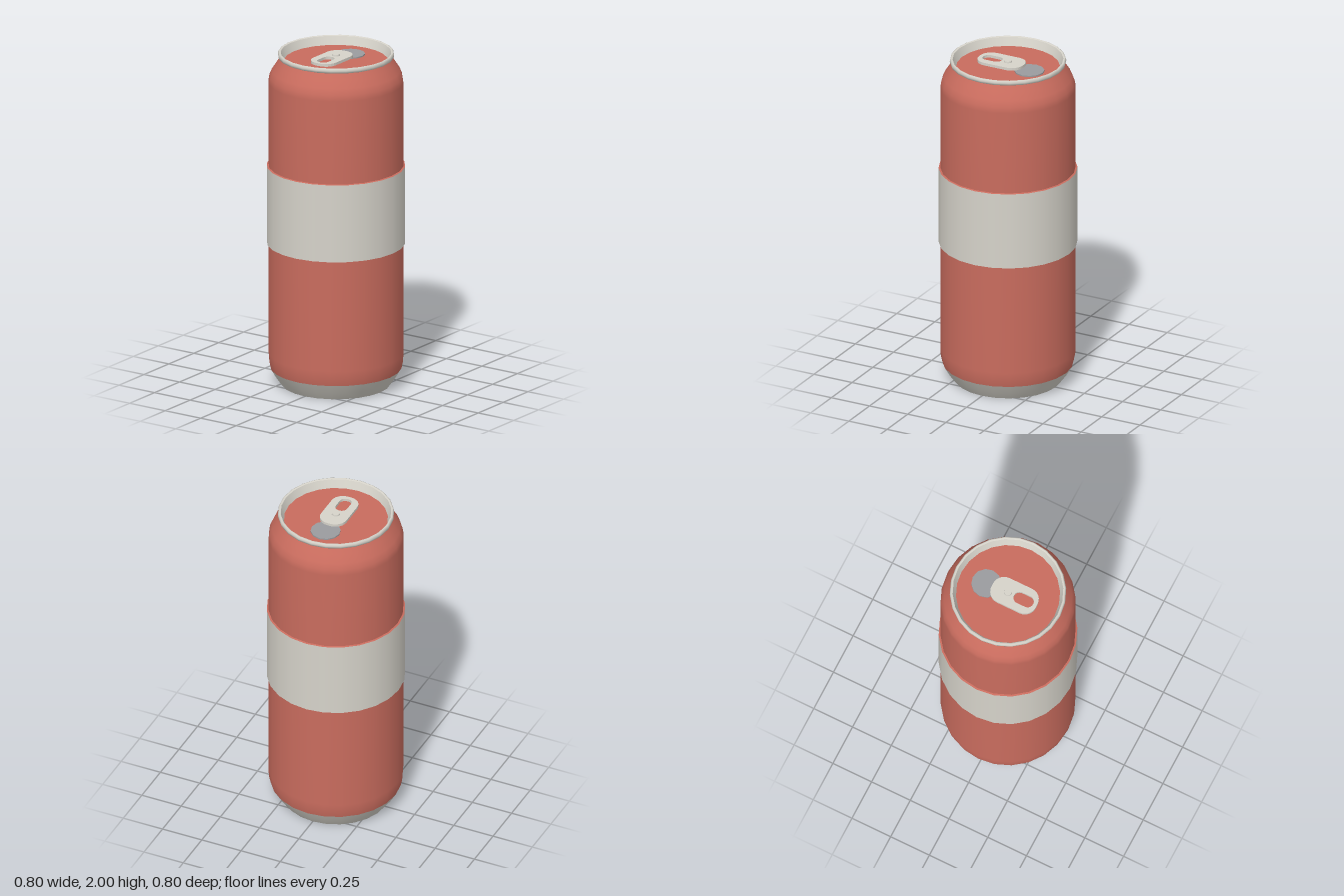
import * as THREE from 'three';

const SIDES = 24;
const mat = (name, color, side = THREE.FrontSide) => {
  const m = new THREE.MeshStandardMaterial({ color, side });
  m.name = name;
  return m;
};

// Rounded rectangle outline centred on (cx, 0)
function roundedRect(path, cx, halfW, halfH, r) {
  const q = Math.PI / 2;
  [[1, 1], [-1, 1], [-1, -1], [1, -1]].forEach(([sx, sy], i) =>
    path.absarc(cx + sx * (halfW - r), sy * (halfH - r), r, i * q, (i + 1) * q, false));
  path.closePath();
  return path;
}

export function createModel() {
  const group = new THREE.Group();
  group.name = 'drinkCan';
  const red = mat('red paint', 0xc96c5e);
  const silver = mat('pale metal', 0xd6d3ca);
  const grey = mat('grey opening', 0x9b9c9f);

  const add = (name, geometry, material, x = 0, y = 0) => {
    const mesh = new THREE.Mesh(geometry, material);
    mesh.name = name;
    mesh.position.set(x, y, 0);
    group.add(mesh);
    return mesh;
  };
  // Profiles run from the bottom centre outwards, up and back in to the top centre
  const turn = (name, material, profile) =>
    add(name, new THREE.LatheGeometry(profile.map(([r, y]) => new THREE.Vector2(r, y)), SIDES), material);

  // Base: hollow dome, standing ring and sloping foot
  turn('baseDome', silver, [[0, 0.09], [0.1, 0.083], [0.19, 0.062], [0.25, 0.035], [0.285, 0]]);
  turn('baseRing', silver, [[0.285, 0], [0.312, 0]]);
  turn('baseFoot', silver, [[0.312, 0], [0.345, 0.045], [0.378, 0.1]]);

  // Painted body below and above the band
  turn('lowerBody', red, [[0.378, 0.1], [0.387, 0.14], [0.39, 0.19], [0.39, 0.85]]);
  turn('upperBody', red, [[0.39, 1.32], [0.39, 1.82], [0.385, 1.855], [0.37, 1.89], [0.34, 1.935], [0.32, 1.967]]);

  // Raised label band with painted edges
  turn('bandLowerEdge', red, [[0.39, 0.85], [0.4, 0.853]]);
  turn('band', silver, [[0.4, 0.853], [0.4, 1.317]]);
  turn('bandUpperEdge', red, [[0.4, 1.317], [0.39, 1.32]]);

  // Rolled rim, inner wall and sunken lid
  turn('rim', silver, [[0.32, 1.967], [0.333, 1.972], [0.336, 1.985], [0.333, 1.997], [0.327, 2], [0.319, 1.996]]);
  turn('rimInnerWall', silver, [[0.319, 1.996], [0.3, 1.947]]);
  turn('lid', red, [[0.3, 1.947], [0, 1.947]]);

  // Opening plate
  const opening = new THREE.CylinderGeometry(0.087, 0.087, 0.008, 12);
  add('opening', opening, grey, 0.14, 1.951);

  // Pull tab with finger hole
  const tabShape = roundedRect(new THREE.Shape(), -0.042, 0.143, 0.081, 0.07);
  tabShape.holes.push(roundedRect(new THREE.Path(), -0.101, 0.061, 0.036, 0.034));
  const tab = new THREE.ExtrudeGeometry(tabShape, { depth: 0.016, bevelEnabled: false, curveSegments: 3 });
  tab.rotateX(-Math.PI / 2);
  add('pullTab', tab, silver, 0, 1.962);

  // Rivet holding the tab
  add('rivet', new THREE.CylinderGeometry(0.023, 0.03, 0.04, 12), silver, 0, 1.967);

  return group;
}
